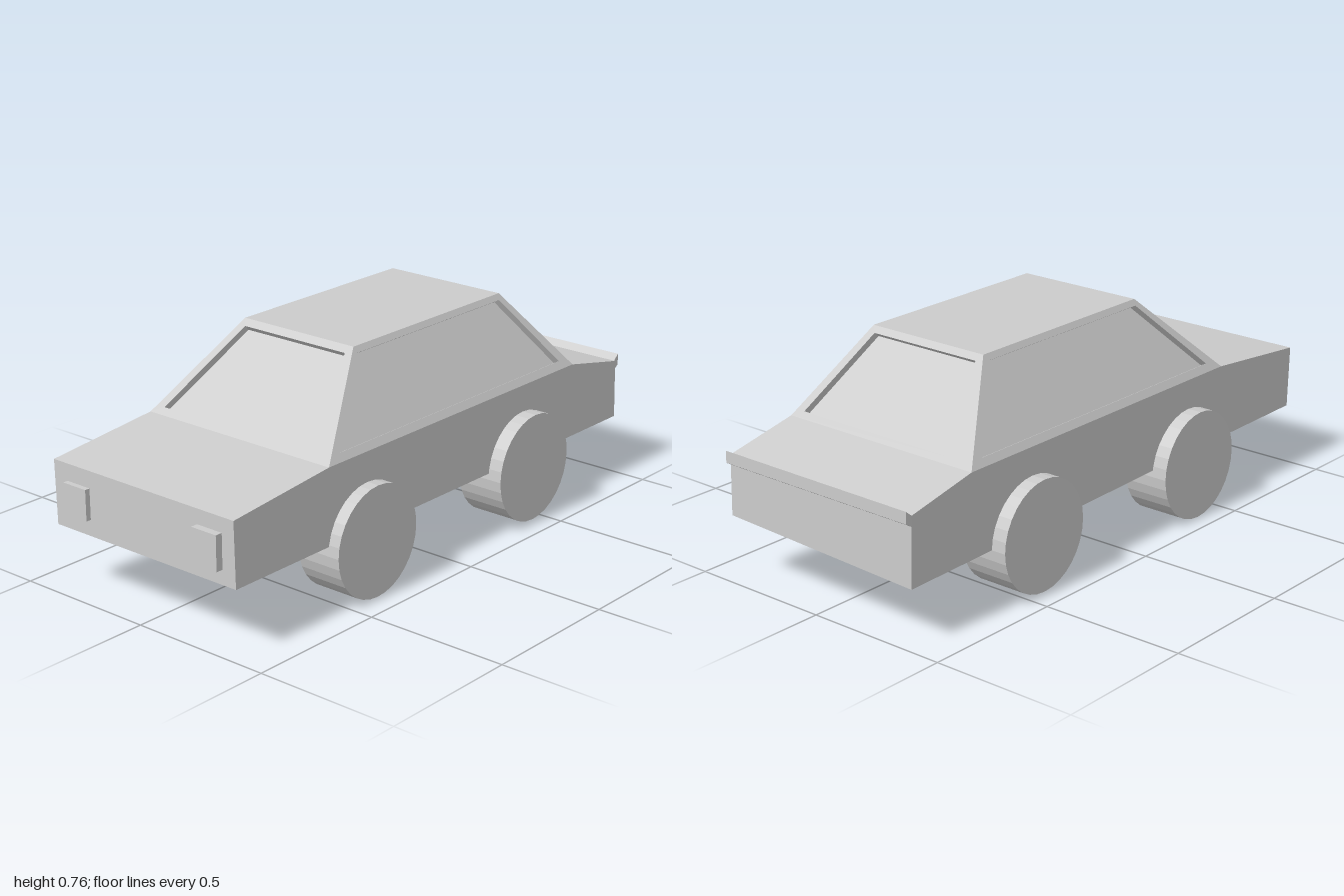
import * as THREE from 'three';

const grey = new THREE.MeshStandardMaterial({ color: 0xcccccc });
grey.name = 'plainGrey';

// Flat-shaded mesh from quads, corners counter-clockwise from outside
function quadMesh(name, quads) {
  const pos = quads.flatMap(([a, b, c, d]) => [a, b, c, a, c, d].flat());
  const geo = new THREE.BufferGeometry();
  geo.setAttribute('position', new THREE.Float32BufferAttribute(pos, 3));
  geo.computeVertexNormals();
  const mesh = new THREE.Mesh(geo, grey);
  mesh.name = name;
  return mesh;
}

// Capped solid through four-cornered cross-sections
function loft(name, rings) {
  const quads = [[...rings[0]].reverse(), rings[rings.length - 1]];
  for (let i = 0; i + 1 < rings.length; i++) {
    for (let k = 0; k < 4; k++) {
      const n = (k + 1) % 4;
      quads.push([rings[i][k], rings[i][n], rings[i + 1][n], rings[i + 1][k]]);
    }
  }
  return quadMesh(name, quads);
}

// One sloping cabin side: frame, window reveal and recessed pane
function windowSide(name, corners, mBottom, mTop, vLow, vHigh) {
  const [bl, br, tr, tl] = corners.map((c) => new THREE.Vector3(...c));
  const at = (u, v) => bl.clone().lerp(br, u).lerp(tl.clone().lerp(tr, u), v);
  const hole = [at(mBottom, vLow), at(1 - mBottom, vLow), at(1 - mTop, vHigh), at(mTop, vHigh)];
  const inward = br.clone().sub(bl).cross(tl.clone().sub(bl)).normalize().multiplyScalar(-0.023);
  const pane = hole.map((p) => p.clone().add(inward).toArray());
  const rim = hole.map((p) => p.toArray());
  const frame = [];
  for (let k = 0; k < 4; k++) {
    const n = (k + 1) % 4;
    frame.push([corners[k], corners[n], rim[n], rim[k]]);
    frame.push([rim[k], rim[n], pane[n], pane[k]]);
  }
  const group = new THREE.Group();
  group.name = name;
  group.add(quadMesh(name + 'Frame', frame), quadMesh(name + 'Pane', [pane]));
  return group;
}

export function createModel() {
  const car = new THREE.Group();
  car.name = 'car';

  // Lower body: z, bottom y on the right and left, top y
  const stations = [
    [-0.978, 0.19, 0.22, 0.425],
    [-0.715, 0.194, 0.22, 0.48],
    [0.555, 0.218, 0.223, 0.48],
    [0.975, 0.223, 0.223, 0.44],
  ];
  car.add(loft('body', stations.map(([z, yr, yl, top]) => [
    [-0.381, yr, z], [0.382, yl, z], [0.377, top, z], [-0.386, top, z],
  ])));

  // Lip along the rear edge of the boot
  car.add(loft('bootLip', [-0.386, 0.373].map((x) => [
    [x, 0.39, -0.976], [x, 0.405, -1], [x, 0.445, -1], [x, 0.425, -0.976],
  ])));

  // Cabin
  const base = [[-0.386, 0.48, 0.555], [0.377, 0.48, 0.555], [0.377, 0.48, -0.715], [-0.386, 0.48, -0.715]];
  const roof = [[-0.236, 0.757, 0.262], [0.224, 0.757, 0.262], [0.224, 0.757, -0.488], [-0.236, 0.757, -0.488]];
  const cabin = new THREE.Group();
  cabin.name = 'cabin';
  cabin.add(quadMesh('roof', [roof]));
  ['windscreen', 'leftWindow', 'rearWindow', 'rightWindow'].forEach((name, k) => {
    const n = (k + 1) % 4;
    const corners = [base[k], base[n], roof[n], roof[k]];
    const side = k % 2 === 1;
    cabin.add(windowSide(name, corners, side ? 0.035 : 0.045, side ? 0.035 : 0.06, side ? 0.09 : 0.07, 0.93));
  });
  car.add(cabin);

  // Headlights: centre x, y, width, height
  for (const [x, y, w, h] of [[-0.279, 0.33, 0.098, 0.104], [0.279, 0.331, 0.1, 0.117]]) {
    const lamp = new THREE.Mesh(new THREE.BoxGeometry(w, h, 0.04), grey);
    lamp.name = x > 0 ? 'leftHeadlight' : 'rightHeadlight';
    lamp.position.set(x, y, x > 0 ? 0.98 : 0.973);
    car.add(lamp);
  }

  // Wheels: name, inner x, outer x, centre y, centre z
  const wheels = [
    ['frontRightWheel', -0.27, -0.435, 0.189, 0.375],
    ['frontLeftWheel', 0.26, 0.423, 0.192, 0.377],
    ['rearRightWheel', -0.26, -0.434, 0.196, -0.432],
    ['rearLeftWheel', 0.26, 0.432, 0.2, -0.43],
  ];
  for (const [name, inner, outer, y, z] of wheels) {
    const geo = new THREE.CylinderGeometry(0.188, 0.188, Math.abs(outer - inner), 32).toNonIndexed();
    geo.computeVertexNormals();
    geo.rotateZ(Math.PI / 2);
    const wheel = new THREE.Mesh(geo, grey);
    wheel.name = name;
    wheel.position.set((inner + outer) / 2, y, z);
    car.add(wheel);
  }
  return car;
}
